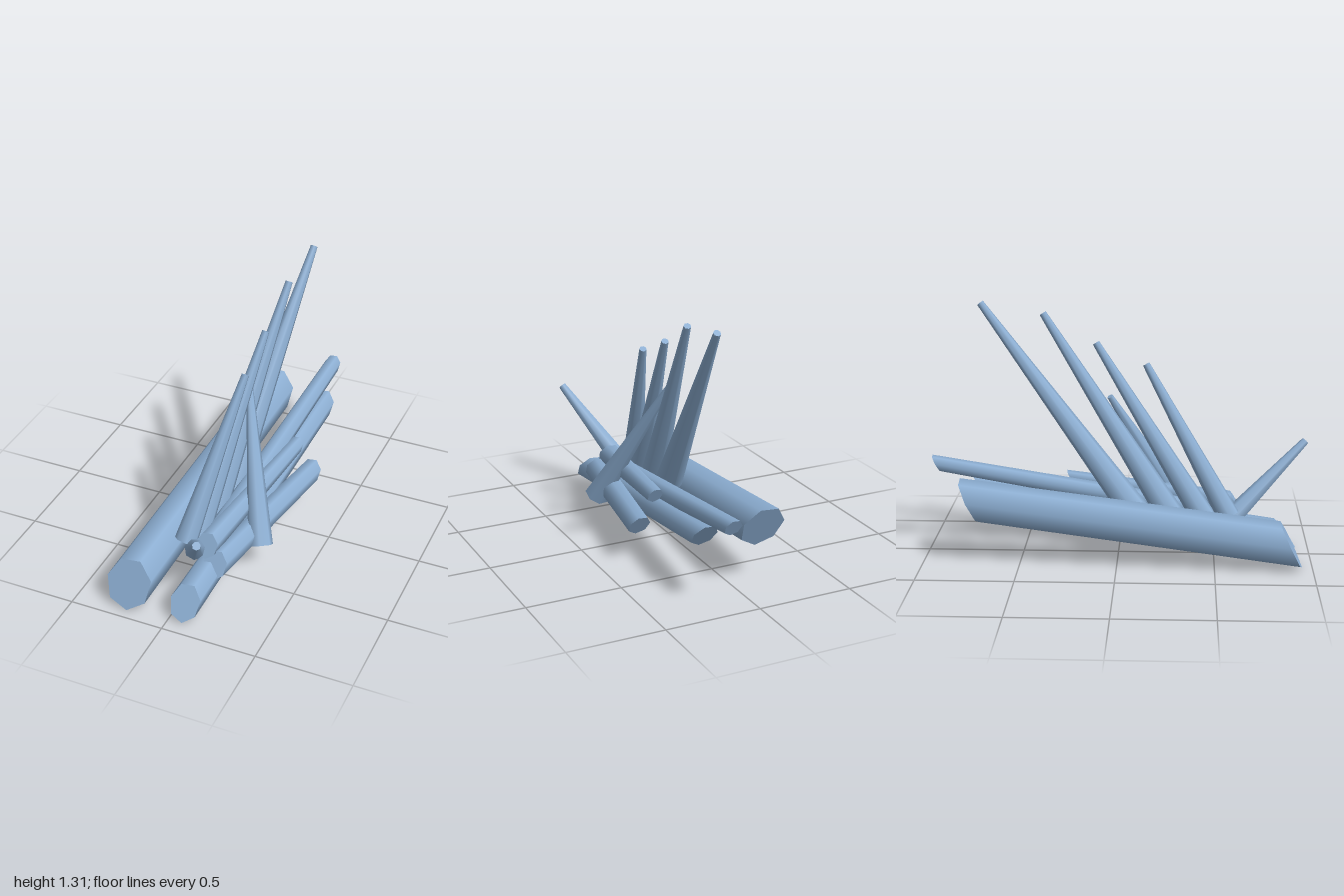
import * as THREE from 'three';

const V = (p) => new THREE.Vector3(...p);
const SIDES = 7;
const PHASE = THREE.MathUtils.degToRad(72);

// Tapered seven-sided prism standing on local y from 0 to 1
function prism(rStart, rEnd) {
  return new THREE.CylinderGeometry(rEnd, rStart, 1, SIDES, 1, false, PHASE).translate(0, 0.5, 0);
}

// Lying log: its end faces slant back by "slant" units of z per unit of height
function log(from, to, rStart, rEnd, slant) {
  const a = V(from), axis = V(to).sub(a);
  const m = new THREE.Matrix4()
    .makeBasis(new THREE.Vector3(1, 0, 0), axis, new THREE.Vector3(0, 1, -slant))
    .setPosition(a);
  return prism(rStart, rEnd).applyMatrix4(m);
}

// Leaning spike: square-cut ends
function spike(from, to, rStart, rEnd) {
  const a = V(from), axis = V(to).sub(a), length = axis.length();
  const q = new THREE.Quaternion().setFromUnitVectors(new THREE.Vector3(0, 1, 0), axis.normalize());
  const m = new THREE.Matrix4().compose(a, q, new THREE.Vector3(1, length, 1));
  return prism(rStart, rEnd).applyMatrix4(m);
}

export function createModel() {
  const model = new THREE.Group();
  model.name = 'shardCluster';
  const blue = new THREE.MeshStandardMaterial({ color: 0x8caed2 });
  blue.name = 'pale blue';

  const add = (name, geometry) => {
    const mesh = new THREE.Mesh(geometry, blue);
    mesh.name = name;
    model.add(mesh);
  };

  // Lying logs: name, front centre, back centre, front radius, back radius, slant
  const logs = [
    ['largeLog', [-0.231, 0.118, 0.89], [-0.138, 0.304, -0.765], 0.122, 0.118, 0.48],
    ['lowerLog', [0.07, 0.085, 0.875], [0.167, 0.305, -0.74], 0.08, 0.068, 0.75],
    ['sideLog', [0.13, 0.175, 0.65], [0.288, 0.195, -0.26], 0.065, 0.058, 0.65],
    ['upperLog', [0.07, 0.255, 0.615], [0.2, 0.342, -0.262], 0.06, 0.042, 0.55],
    ['longLog', [0.055, 0.205, 0.5], [0.138, 0.43, -0.975], 0.062, 0.046, 0.55],
  ];
  for (const [name, ...args] of logs) add(name, log(...args));

  // Row of four upright spikes, tallest first: base, tip, base radius
  const row = [
    [[-0.04, 0.155, 0.14], [0.1, 1.3, -0.72], 0.082],
    [[-0.045, 0.17, 0.3], [0.09, 1.25, -0.395], 0.075],
    [[-0.05, 0.18, 0.46], [0.076, 1.1, -0.12], 0.067],
    [[-0.062, 0.215, 0.575], [0.076, 0.99, 0.14], 0.06],
  ];
  row.forEach(([base, tip, r], i) => add(`uprightSpike${i + 1}`, spike(base, tip, r, 0.019)));

  // Single spikes crossing the row
  add('crossingSpike', spike([0.255, 0.13, 0.36], [0.018, 0.83, -0.045], 0.067, 0.016));
  add('frontSpike', spike([-0.01, 0.18, 0.58], [0.19, 0.56, 0.98], 0.055, 0.021));

  return model;
}
